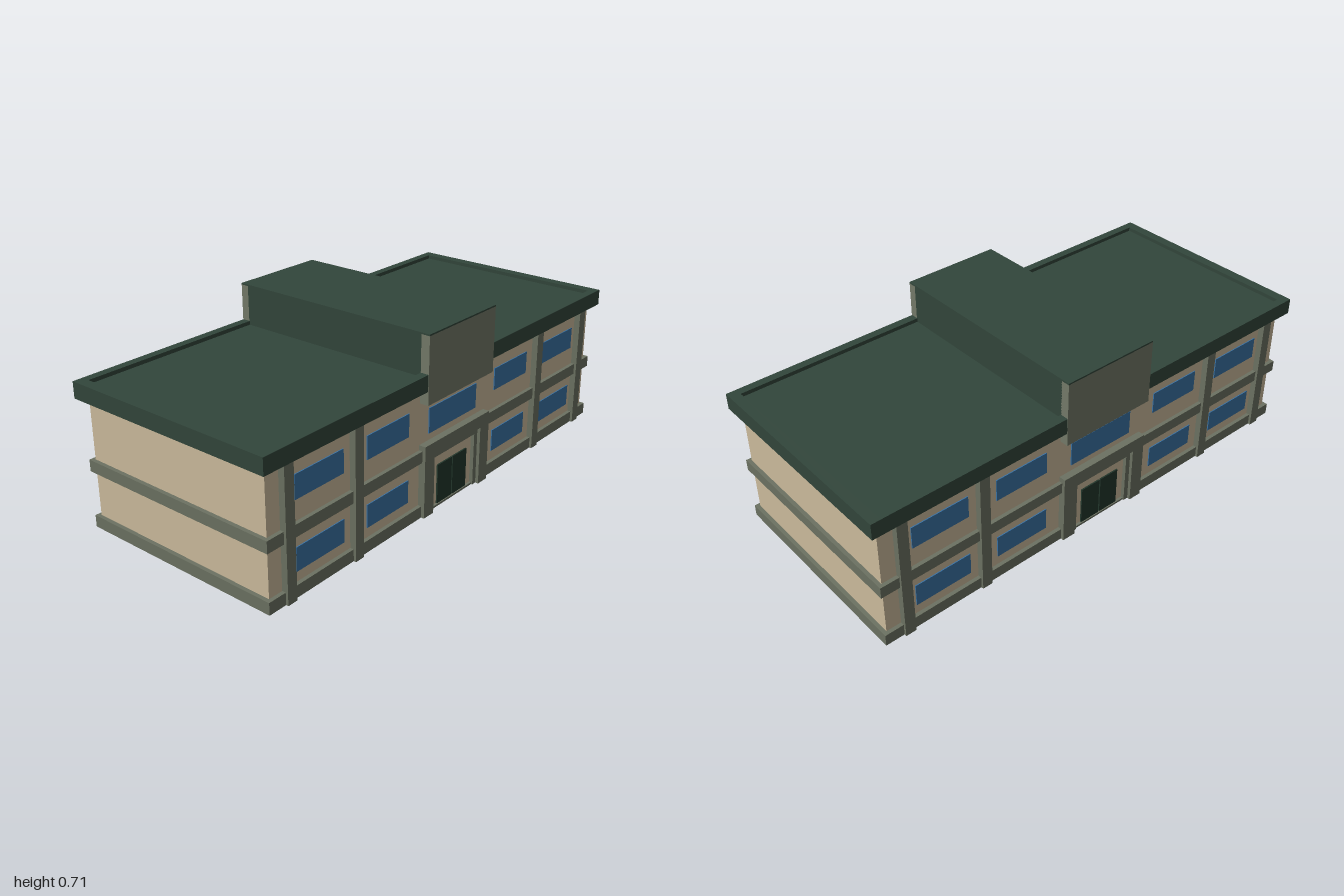
import * as THREE from 'three';

const mat = (name, color) => Object.assign(new THREE.MeshStandardMaterial({ color }), { name });

export function createModel() {
  const wall = mat('beige wall', 0xcdbc9d);
  const trim = mat('grey trim', 0x6c7262);
  const panel = mat('grey panel', 0x747a69);
  const green = mat('dark green roof', 0x32463b);
  const blue = mat('blue glass', 0x3a73a6);
  const doorGreen = mat('door green', 0x22362b);

  const building = new THREE.Group();
  building.name = 'building';

  // Box given by its limits on each axis
  const box = (parent, name, material, [x0, x1], [y0, y1], [z0, z1]) => {
    const mesh = new THREE.Mesh(new THREE.BoxGeometry(x1 - x0, y1 - y0, z1 - z0), material);
    mesh.position.set((x0 + x1) / 2, (y0 + y1) / 2, (z0 + z1) / 2);
    mesh.name = name;
    parent.add(mesh);
  };

  // Main body and floor slab
  box(building, 'walls', wall, [-0.965, 0.965], [0.004, 0.51], [-0.41, 0.41]);
  box(building, 'floorSlab', trim, [-0.975, 0.975], [0, 0.008], [-0.42, 0.42]);

  // Bands along the two end walls
  for (const s of [-1, 1]) {
    const ends = s > 0 ? [0.955, 0.98] : [-0.98, -0.955];
    box(building, 'endBaseBand', trim, ends, [0, 0.046], [-0.425, 0.425]);
    box(building, 'endFloorBand', trim, ends, [0.22, 0.265], [-0.425, 0.425]);
  }

  // One long facade, built facing +z and repeated on the back
  const makeFacade = (name) => {
    const f = new THREE.Group();
    f.name = name;
    for (const s of [-1, 1]) {
      const span = (a, b) => (s > 0 ? [a, b] : [-b, -a]);
      box(f, 'baseBand', trim, span(0.19, 0.957), [0, 0.046], [0.4, 0.425]);
      box(f, 'floorBand', trim, span(0.19, 0.957), [0.22, 0.265], [0.4, 0.425]);
      for (const x of [0.885, 0.555])
        box(f, 'column', trim, span(x - 0.021, x + 0.021), [0, 0.505], [0.4, 0.435]);
      for (const [a, b] of [[0.61, 0.84], [0.265, 0.49]])
        for (const y of [0.085, 0.342])
          box(f, 'window', blue, span(a, b), [y, y + 0.088], [0.407, 0.414]);
      // Stepped entrance surround
      box(f, 'portalPost', trim, span(0.145, 0.2), [0, 0.285], [0.4, 0.438]);
      box(f, 'portalInnerPost', trim, span(0.125, 0.145), [0, 0.225], [0.4, 0.425]);
      // Door leaf, with a thin gap in the middle
      box(f, 'doorLeaf', doorGreen, span(0.003, 0.09), [0.005, 0.165], [0.407, 0.416]);
    }
    box(f, 'portalLintel', trim, [-0.145, 0.145], [0.235, 0.285], [0.4, 0.438]);
    box(f, 'portalInnerLintel', trim, [-0.145, 0.145], [0.212, 0.235], [0.4, 0.425]);
    box(f, 'centreWindow', blue, [-0.148, 0.142], [0.312, 0.41], [0.407, 0.414]);
    // Plain panel on the end of the roof block
    box(f, 'blockPanel', panel, [-0.2, 0.2], [0.445, 0.7], [0.41, 0.445]);
    return f;
  };
  const back = makeFacade('backFacade');
  back.rotation.y = Math.PI;
  building.add(makeFacade('frontFacade'), back);

  // Overhanging roof with a low rim
  box(building, 'roof', green, [-0.99, 0.99], [0.498, 0.545], [-0.435, 0.435]);
  for (const s of [-1, 1]) {
    const side = (a, b) => (s > 0 ? [a, b] : [-b, -a]);
    box(building, 'roofEndRim', green, side(0.96, 1), [0.497, 0.56], [-0.443, 0.443]);
    for (const t of [-1, 1])
      box(building, 'roofLongRim', green, side(0.2, 0.96), [0.497, 0.56],
        t > 0 ? [0.41, 0.443] : [-0.443, -0.41]);
  }

  // Raised block across the middle of the roof
  box(building, 'roofBlock', green, [-0.2, 0.2], [0.5, 0.702], [-0.412, 0.412]);
  box(building, 'roofBlockCap', green, [-0.2, 0.2], [0.7, 0.706], [-0.445, 0.445]);

  return building;
}
